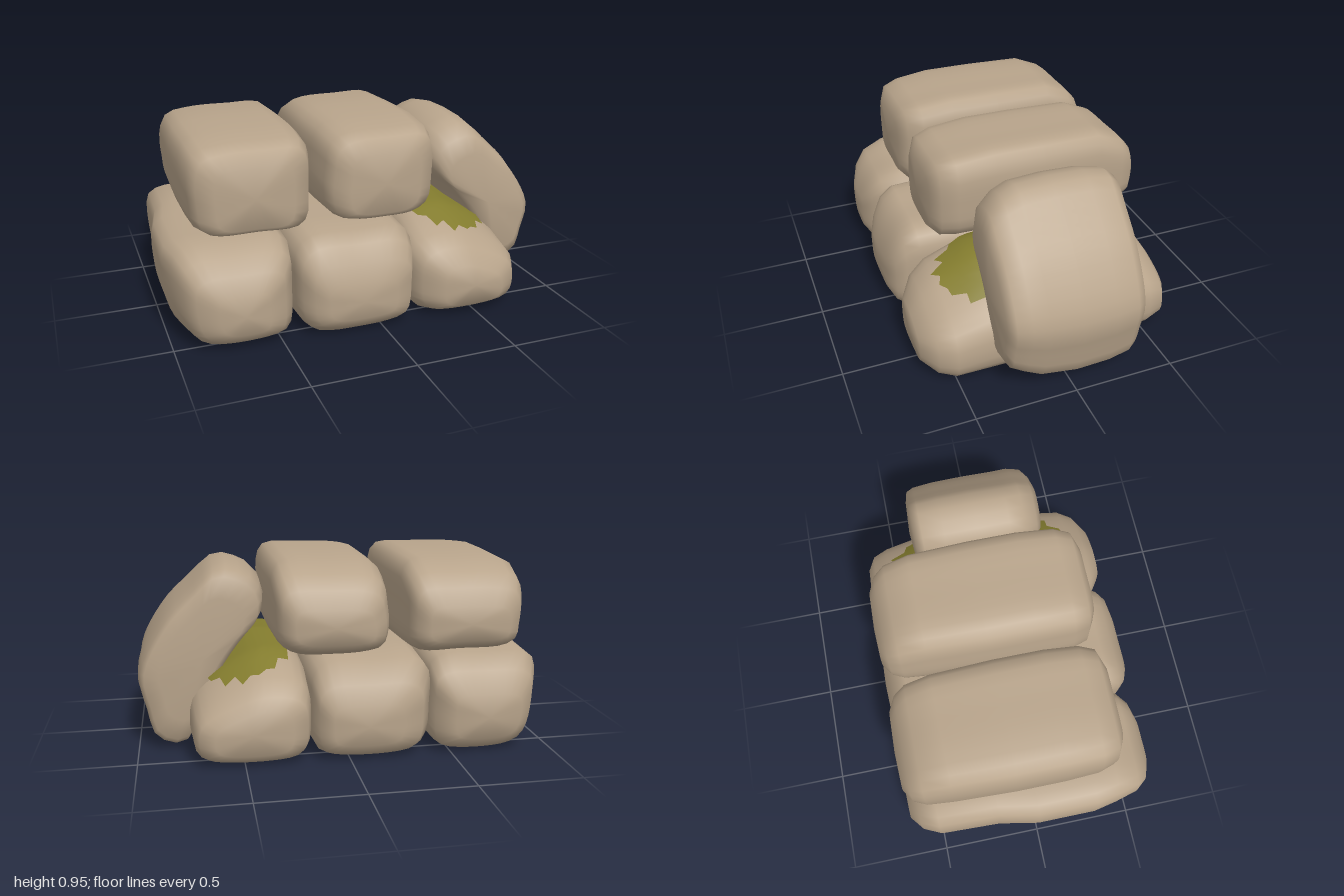
import * as THREE from 'three';

const cloth = new THREE.MeshStandardMaterial({ color: 0xb8a48b });
cloth.name = 'sand cloth';
const moss = new THREE.MeshStandardMaterial({ color: 0x837c2e, side: THREE.DoubleSide });
moss.name = 'moss green';

// Soft bag: a rounded outline in x/y, lofted along z.
// Each ring is [z, scaleX, scaleY, shiftX, shiftY].
function bag(name, outline, rings) {
  const curve = new THREE.CatmullRomCurve3(
    outline.map(([x, y]) => new THREE.Vector3(x, y, 0)), true, 'centripetal');
  const n = 36;
  const pts = curve.getSpacedPoints(n).slice(0, n);
  const box = new THREE.Box3().setFromPoints(pts);
  const c = box.getCenter(new THREE.Vector3());
  const pos = [], idx = [];
  for (const [z, sx, sy, dx = 0, dy = 0] of rings) {
    for (const p of pts) {
      const x = c.x + (p.x - c.x) * sx + dx;
      const y = c.y + (p.y - c.y) * sy + dy;
      pos.push(x, Math.max(0.005, y), z);
    }
  }
  const last = rings.length - 1;
  for (let r = 0; r < last; r++) {
    for (let i = 0; i < n; i++) {
      const j = (i + 1) % n, a = r * n + i, b = r * n + j;
      idx.push(a, b, b + n, a, b + n, a + n);
    }
  }
  // Slightly bulging ends
  for (const [r, s] of [[0, -1], [last, 1]]) {
    const [z, , , dx = 0, dy = 0] = rings[r];
    const centre = pos.length / 3;
    pos.push(c.x + dx, c.y + dy, z + s * 0.012);
    for (let i = 0; i < n; i++) {
      const a = r * n + i, b = r * n + (i + 1) % n;
      if (s > 0) idx.push(centre, a, b);
      else idx.push(centre, b, a);
    }
  }
  const g = new THREE.BufferGeometry();
  g.setAttribute('position', new THREE.Float32BufferAttribute(pos, 3));
  g.setIndex(idx);
  g.computeVertexNormals();
  const mesh = new THREE.Mesh(g, cloth);
  mesh.name = name;
  return mesh;
}

// Ragged sheet draped over a bag by dropping its points onto the surface
function mossPatch(name, support, cx, cz, rx, rz) {
  const n = 44, rows = 10, pos = [], idx = [];
  const ray = new THREE.Raycaster();
  const down = new THREE.Vector3(0, -1, 0);
  for (let r = 0; r <= rows; r++) {
    for (let i = 0; i < n; i++) {
      const a = (i / n) * Math.PI * 2;
      const jag = r === rows ? (i % 2 ? 0.95 : 1.02) + 0.025 * Math.sin(i * 2.3) : 1;
      const f = (r / rows) * jag;
      const x = cx + rx * f * Math.cos(a), z = cz + rz * f * Math.sin(a);
      ray.set(new THREE.Vector3(x, 2, z), down);
      const hit = ray.intersectObject(support)[0];
      pos.push(x, (hit ? hit.point.y : 0.36) + 0.02, z);
    }
  }
  for (let r = 0; r < rows; r++) {
    for (let i = 0; i < n; i++) {
      const a = r * n + i, b = r * n + (i + 1) % n;
      idx.push(a, b + n, a + n);
      if (r > 0) idx.push(a, b, b + n);
    }
  }
  const g = new THREE.BufferGeometry();
  g.setAttribute('position', new THREE.Float32BufferAttribute(pos, 3));
  g.setIndex(idx);
  g.computeVertexNormals();
  const mesh = new THREE.Mesh(g, moss);
  mesh.name = name;
  return mesh;
}

export function createModel() {
  const group = new THREE.Group();
  group.name = 'sandbagPile';

  // Bottom row
  group.add(bag('lowerRightBag', [
    [-0.985, 0.45], [-1, 0.3], [-0.955, 0.08], [-0.86, 0.012], [-0.48, 0.012], [-0.425, 0.05],
    [-0.41, 0.3], [-0.42, 0.45], [-0.48, 0.487], [-0.7, 0.492], [-0.91, 0.487]], [
    [-0.645, 0.55, 0.44, 0.03, -0.055], [-0.59, 0.82, 0.78, 0.04, -0.03], [-0.5, 0.92, 0.95, 0.025],
    [-0.2, 0.94, 1, 0.02], [0, 1, 1], [0.3, 1, 1], [0.42, 0.95, 0.98, 0.01],
    [0.53, 0.86, 0.88, 0.015, -0.015], [0.59, 0.7, 0.66, 0.015, -0.035],
    [0.63, 0.4, 0.38, 0.02, -0.055]]));
  group.add(bag('lowerMiddleBag', [
    [-0.41, 0.42], [-0.415, 0.25], [-0.4, 0.08], [-0.34, 0.012], [0.13, 0.012], [0.175, 0.06],
    [0.19, 0.25], [0.18, 0.43], [0.12, 0.485], [-0.1, 0.492], [-0.35, 0.487]], [
    [-0.655, 0.55, 0.38, 0.03, -0.06], [-0.615, 0.82, 0.68, 0.01, -0.04], [-0.54, 0.95, 0.94],
    [-0.25, 0.99, 1], [0, 1, 1], [0.3, 1, 1], [0.5, 0.98, 0.97],
    [0.57, 0.92, 0.86, 0, -0.02], [0.62, 0.8, 0.62, 0.01, -0.045], [0.65, 0.56, 0.36, 0, -0.065]]));
  const lowerLeft = bag('lowerLeftBag', [
    [0.19, 0.42], [0.175, 0.22], [0.19, 0.08], [0.25, 0.012], [0.7, 0.012], [0.765, 0.07],
    [0.765, 0.28], [0.7, 0.36], [0.55, 0.455], [0.42, 0.505], [0.25, 0.485]], [
    [-0.65, 0.6, 0.4, -0.02, -0.075], [-0.61, 0.84, 0.6, -0.02, -0.065],
    [-0.53, 0.92, 0.8, -0.02, -0.045], [-0.36, 0.95, 0.95, -0.015, -0.01], [0, 1, 1],
    [0.32, 1, 0.94, 0, -0.012], [0.5, 0.98, 0.79, 0, -0.048], [0.58, 0.84, 0.64, 0, -0.065],
    [0.645, 0.52, 0.4, 0, -0.085]]);
  group.add(lowerLeft);

  // Top row, set back a little
  const upperRings = [
    [-0.63, 0.64, 0.36, 0, -0.065], [-0.59, 0.83, 0.63, 0, -0.04], [-0.53, 0.92, 0.83, 0, -0.02],
    [-0.4, 0.96, 0.98, 0, 0], [-0.1, 1, 1], [0.15, 1, 1], [0.32, 0.97, 0.95, 0, -0.01],
    [0.4, 0.88, 0.88, 0, -0.02], [0.44, 0.62, 0.66, 0, -0.04]];
  group.add(bag('upperRightBag', [
    [-0.87, 0.64], [-0.855, 0.54], [-0.79, 0.5], [-0.55, 0.492], [-0.33, 0.495], [-0.28, 0.54],
    [-0.27, 0.7], [-0.275, 0.87], [-0.31, 0.93], [-0.5, 0.94], [-0.72, 0.935], [-0.84, 0.905],
    [-0.875, 0.8]], upperRings));
  group.add(bag('upperMiddleBag', [
    [-0.22, 0.65], [-0.19, 0.53], [-0.1, 0.5], [0.08, 0.492], [0.26, 0.505], [0.34, 0.56],
    [0.36, 0.7], [0.355, 0.88], [0.32, 0.94], [0.12, 0.948], [-0.13, 0.93], [-0.19, 0.88],
    [-0.21, 0.77]], upperRings.map(([z, ...s]) => [z > 0.2 ? z + 0.02 : z, ...s])));

  // Bag leaning against the left end
  group.add(bag('leaningBag', [
    [0.365, 0.76], [0.38, 0.67], [0.47, 0.56], [0.57, 0.42], [0.66, 0.25], [0.73, 0.08],
    [0.79, 0.008], [0.92, 0.05], [0.965, 0.2], [0.995, 0.38], [0.86, 0.65], [0.72, 0.8],
    [0.6, 0.91], [0.54, 0.915], [0.4, 0.85]],
    [[-0.365, 0.66, 0.66], [-0.35, 0.88, 0.88], [-0.31, 0.95, 0.95], [-0.2, 0.99, 0.99],
      [-0.03, 1, 1], [0.14, 0.98, 0.96, 0, 0.008], [0.22, 0.94, 0.88, 0.01, 0.018],
      [0.29, 0.86, 0.77, 0.02, 0.012], [0.325, 0.7, 0.6, 0.03, 0]]));

  // Moss
  group.add(mossPatch('mossPatch', lowerLeft, 0.46, -0.015, 0.275, 0.52));
  const lowerMiddle = group.getObjectByName('lowerMiddleBag');
  group.add(mossPatch('smallMoss', lowerMiddle, -0.19, -0.11, 0.07, 0.05));
  return group;
}
